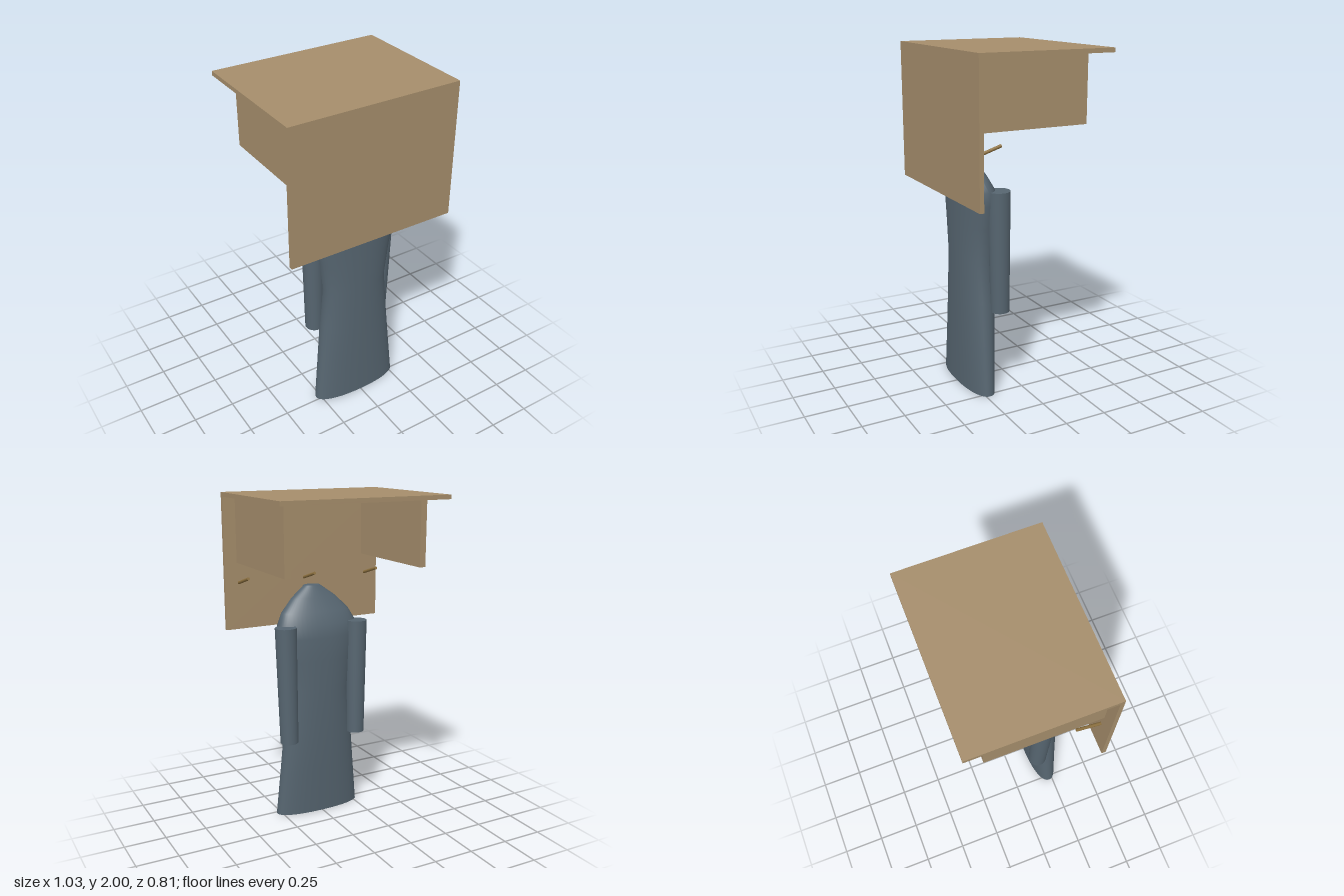
import * as THREE from 'three';

const wood = new THREE.MeshStandardMaterial({ color: 0xa58d6b });
const pegWood = new THREE.MeshStandardMaterial({ color: 0x8c703f });
const cloth = new THREE.MeshStandardMaterial({ color: 0x566570 });

// Box given by its min and max corners
function board(name, min, max) {
  const size = max.map((v, i) => v - min[i]);
  const mesh = new THREE.Mesh(new THREE.BoxGeometry(...size), wood);
  mesh.position.set(...max.map((v, i) => (v + min[i]) / 2));
  mesh.name = name;
  return mesh;
}

// Loft through flattened oval sections [y, halfWidth, zBack, zFront], closed at both ends
function loft(sections, n = 48) {
  const pos = [], idx = [];
  const power = (v, e) => Math.sign(v) * Math.abs(v) ** e;
  const ring = ([y, w, zb, zf]) => {
    for (let i = 0; i <= n; i++) {
      const a = (i / n) * Math.PI * 2;
      pos.push(w * power(Math.sin(a), 0.9), y, (zb + zf) / 2 + ((zf - zb) / 2) * power(Math.cos(a), 0.9));
    }
  };
  sections.forEach(ring);
  for (let j = 0; j < sections.length - 1; j++) {
    for (let i = 0; i < n; i++) {
      const a = j * (n + 1) + i, b = a + n + 1;
      idx.push(a, a + 1, b, a + 1, b + 1, b);
    }
  }
  // Flat caps with their own vertices so the rims stay sharp
  for (const [s, up] of [[sections[0], false], [sections.at(-1), true]]) {
    const start = pos.length / 3;
    ring(s);
    const c = pos.length / 3;
    pos.push(0, s[0], (s[2] + s[3]) / 2);
    for (let i = start; i < start + n; i++) idx.push(c, ...(up ? [i, i + 1] : [i + 1, i]));
  }
  const g = new THREE.BufferGeometry();
  g.setAttribute('position', new THREE.Float32BufferAttribute(pos, 3));
  g.setIndex(idx);
  g.computeVertexNormals();
  return g;
}

// Round bar between two points
function bar(name, from, to, rFrom, rTo, material, sides) {
  const a = new THREE.Vector3(...from), b = new THREE.Vector3(...to);
  const dir = b.clone().sub(a);
  const mesh = new THREE.Mesh(new THREE.CylinderGeometry(rTo, rFrom, dir.length(), sides), material);
  mesh.position.copy(a).add(b).multiplyScalar(0.5);
  mesh.quaternion.setFromUnitVectors(new THREE.Vector3(0, 1, 0), dir.normalize());
  mesh.name = name;
  return mesh;
}

export function createModel() {
  const model = new THREE.Group();
  model.name = 'coatRack';

  // Shelf, mounting panel and side brackets
  model.add(board('shelf', [-0.517, 1.975, -0.405], [0.517, 2, 0.405]));
  model.add(board('mountingPanel', [-0.517, 1.19, 0.38], [0.517, 1.975, 0.405]));
  model.add(board('leftBracket', [0.404, 1.59, -0.285], [0.442, 1.975, 0.38]));
  model.add(board('rightBracket', [-0.442, 1.59, -0.285], [-0.404, 1.975, 0.38]));

  // Tilted pegs
  for (const x of [-0.43, 0, 0.43]) {
    model.add(bar('peg', [x, 1.47, 0.382], [x, 1.515, 0.235], 0.009, 0.009, pegWood, 16));
  }

  // Hanging coat
  const coat = new THREE.Group();
  coat.name = 'coat';
  const body = new THREE.Mesh(loft([
    [0, 0.28, 0.143, 0.312],
    [0.3, 0.25, 0.124, 0.312],
    [0.55, 0.226, 0.11, 0.312],
    [0.8, 0.203, 0.105, 0.312],
    [1.0, 0.23, 0.103, 0.312],
    [1.14, 0.253, 0.105, 0.312],
    [1.22, 0.258, 0.12, 0.312],
    [1.29, 0.222, 0.158, 0.312],
    [1.37, 0.145, 0.202, 0.312],
    [1.44, 0.05, 0.24, 0.312],
  ]), cloth);
  body.name = 'coatBody';
  coat.add(body);
  for (const s of [1, -1]) {
    coat.add(bar(s > 0 ? 'leftSleeve' : 'rightSleeve',
      [s * 0.23, 0.505, 0.137], [s * 0.239, 1.222, 0.147], 0.055, 0.065, cloth, 32));
  }
  model.add(coat);
  return model;
}
